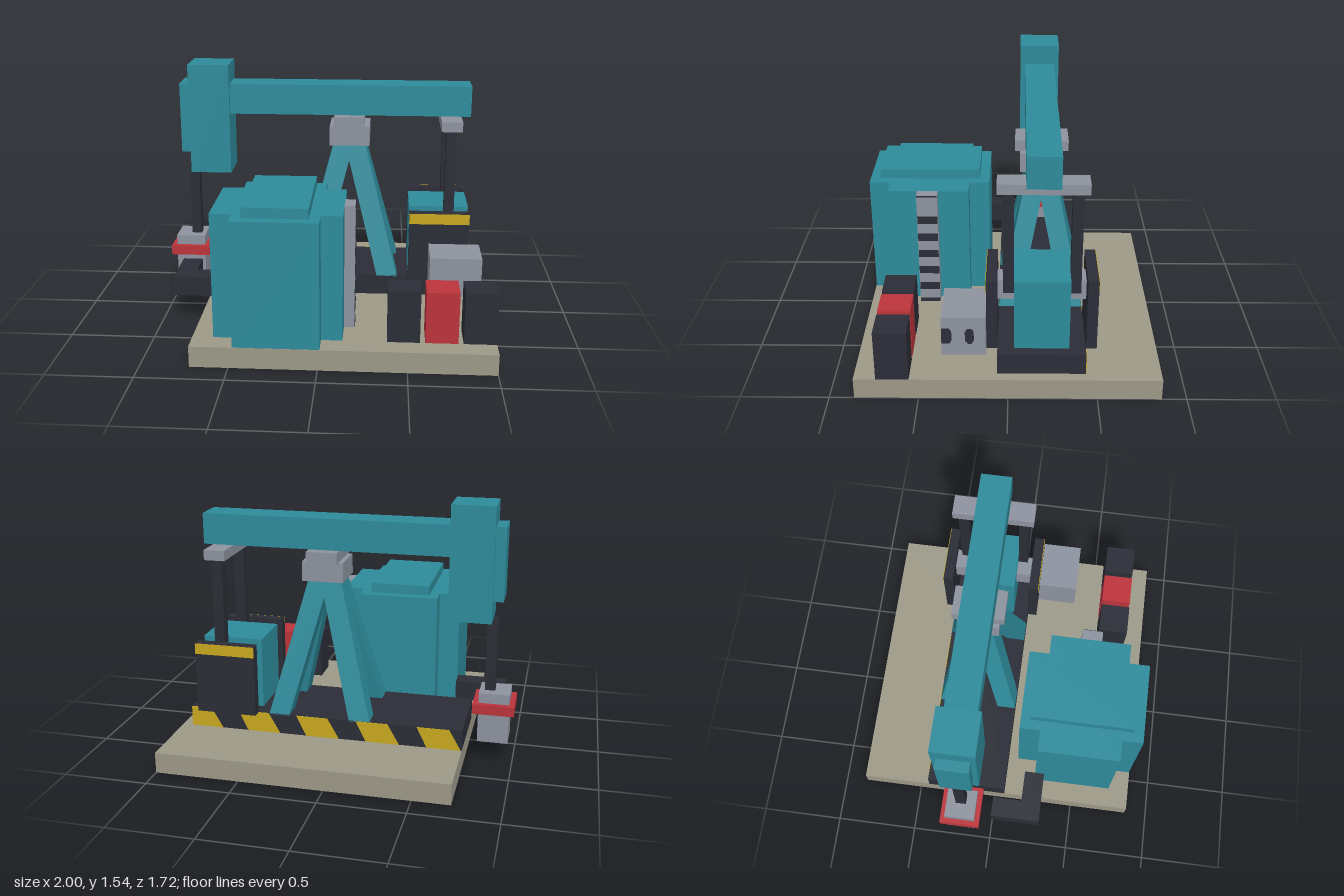
import * as THREE from 'three';

const mat = (name, color) => {
  const m = new THREE.MeshStandardMaterial({ color });
  m.name = name;
  return m;
};

export function createModel() {
  const teal = mat('teal paint', 0x2e8b9b);
  const dark = mat('dark steel', 0x2b2d37);
  const grey = mat('grey metal', 0x8d939f);
  const red = mat('red paint', 0xbc343b);
  const yellow = mat('hazard yellow', 0xc9a820);
  const concrete = mat('concrete', 0x9c9988);

  const model = new THREE.Group();
  model.name = 'oilPump';
  const group = (name) => {
    const g = new THREE.Group();
    g.name = name;
    model.add(g);
    return g;
  };
  // Box given by its extents along each axis
  const box = (parent, name, material, [x0, x1], [y0, y1], [z0, z1]) => {
    const mesh = new THREE.Mesh(new THREE.BoxGeometry(x1 - x0, y1 - y0, z1 - z0), material);
    mesh.position.set((x0 + x1) / 2, (y0 + y1) / 2, (z0 + z1) / 2);
    mesh.name = name;
    parent.add(mesh);
    return mesh;
  };
  // Thin painted plate, drawn in a plane facing +z before it is placed
  const plate = (parent, name, material, points) => {
    const shape = new THREE.Shape(points.map(([x, y]) => new THREE.Vector2(x, y)));
    const mesh = new THREE.Mesh(new THREE.ExtrudeGeometry(shape, { depth: 0.004, bevelEnabled: false }), material);
    mesh.name = name;
    parent.add(mesh);
    return mesh;
  };

  const axisZ = -0.1875;

  // Ground slab and skid
  box(model, 'baseSlab', concrete, [-0.72, 1], [0, 0.125], [-0.86, 0.86]);
  const skid = group('skid');
  box(skid, 'skidFrame', dark, [-0.72, 0.938], [0.125, 0.25], [-0.435, 0.06]);

  // Slanted hazard stripes along the back of the skid
  const length = 1.658;
  const clip = (u) => Math.min(Math.max(u, 0), length);
  for (let k = 0; k < 5; k++) {
    const u = -0.064 + k * 0.364;
    const stripe = plate(skid, 'hazardStripe', yellow, [
      [clip(u + 0.06), 0.126], [clip(u + 0.26), 0.126], [clip(u + 0.19), 0.249], [clip(u), 0.249],
    ]);
    stripe.rotation.y = Math.PI;
    stripe.position.set(0.938, 0, -0.435);
  }

  // Walking beam and horse head
  const beam = group('walkingBeam');
  box(beam, 'beam', teal, [-0.61, 0.873], [1.235, 1.42], [-0.28, -0.095]);
  box(beam, 'head', teal, [-0.85, -0.6], [0.865, 1.54], [-0.31, -0.065]);
  box(beam, 'headNose', teal, [-0.91, -0.85], [0.99, 1.42], [-0.28, -0.095]);

  // Support tower with four splayed legs
  const tower = group('tower');
  box(tower, 'saddle', grey, [0.043, 0.227], [1.17, 1.235], [-0.343, -0.035]);
  box(tower, 'towerCap', grey, [0.015, 0.26], [1.052, 1.17], [-0.31, -0.063]);
  for (const sx of [-1, 1]) {
    for (const sz of [-1, 1]) {
      const geo = new THREE.BoxGeometry(0.125, 0.82, 0.116);
      const p = geo.attributes.position;
      for (let i = 0; i < p.count; i++) {
        const t = 0.5 - p.getY(i) / 0.82; // 0 at the top, 1 at the foot
        p.setX(i, p.getX(i) + sx * (0.033 + 0.212 * t));
        p.setZ(i, p.getZ(i) + sz * (0.02 + 0.17 * t));
      }
      geo.computeVertexNormals();
      const leg = new THREE.Mesh(geo, teal);
      leg.position.set(0.135, 0.655, axisZ);
      leg.name = 'towerLeg';
      tower.add(leg);
    }
  }

  // Gearbox, cranks, pitman arms and counterweights
  const drive = group('drive');
  box(drive, 'gearbox', teal, [0.51, 0.873], [0.25, 0.68], [-0.343, -0.033]);
  box(drive, 'equalizerBar', grey, [0.69, 0.815], [1.175, 1.235], [-0.435, 0.06]);
  for (const s of [-1, 1]) {
    const span = (a, b) => [axisZ + s * a, axisZ + s * b].sort((m, n) => m - n);
    box(drive, 'crank', grey, [0.63, 0.755], [0.5, 0.62], span(0.154, 0.2475));
    box(drive, 'pitmanArm', dark, [0.72, 0.782], [0.555, 1.175], span(0.156, 0.217));
    box(drive, 'counterweight', dark, [0.51, 0.873], [0.25, 0.68], span(0.2475, 0.308));
    box(drive, 'counterweightStripe', yellow, [0.51, 0.873], [0.615, 0.68], span(0.308, 0.311));
  }

  // Wellhead, polished rod and outlet pipe
  const well = group('wellhead');
  box(well, 'wellheadBody', grey, [-0.97, -0.79], [0.125, 0.43], [-0.28, -0.095]);
  box(well, 'wellheadFlange', red, [-1, -0.757], [0.31, 0.37], [-0.31, -0.065]);
  box(well, 'polishedRod', dark, [-0.88, -0.82], [0.43, 0.865], [-0.22, -0.157]);
  box(well, 'pipeAlong', dark, [-0.91, -0.79], [0.188, 0.31], [0, 0.303]);
  box(well, 'pipeAcross', dark, [-0.79, -0.6], [0.188, 0.31], [0.18, 0.303]);

  // Storage tank with stepped corners and roof
  const tank = group('tank');
  box(tank, 'tankWide', teal, [-0.6, 0.135], [0.125, 0.865], [0.245, 0.733]);
  box(tank, 'tankDeep', teal, [-0.475, 0.013], [0.125, 0.865], [0.122, 0.857]);
  box(tank, 'tankRoof', teal, [-0.415, -0.047], [0.865, 0.925], [0.182, 0.796]);

  // Ladder with dark gaps between the rungs
  const ladder = group('ladder');
  box(ladder, 'ladderFrame', grey, [0.135, 0.196], [0.125, 0.865], [0.43, 0.555]);
  for (let i = 0; i < 6; i++) {
    const y = 0.128 + i * 0.1145 + (i ? -0.026 + 0.0 : 0);
    const h = i ? 0.05 : 0.025;
    box(ladder, 'ladderGap', dark, [0.196, 0.199], [y + (i ? 0.0 : 0), y + h], [0.432, 0.553]);
  }
  box(ladder, 'ladderGap', dark, [0.196, 0.199], [0.853, 0.864], [0.432, 0.553]);

  // Motor with two round vents on its outer side
  const motor = group('motor');
  box(motor, 'motorBody', grey, [0.63, 0.935], [0.25, 0.49], [0.122, 0.367]);
  const vent = (points) => {
    const m = plate(motor, 'motorVent', dark, points);
    m.rotation.y = Math.PI / 2; // local x becomes -z
    m.position.x = 0.935;
  };
  vent([[-0.236, 0.345], [-0.22, 0.324], [-0.2, 0.324], [-0.187, 0.345],
    [-0.187, 0.4], [-0.2, 0.42], [-0.22, 0.42], [-0.236, 0.4]]);
  vent([[-0.366, 0.324], [-0.322, 0.324], [-0.31, 0.345], [-0.31, 0.4], [-0.322, 0.42], [-0.366, 0.42]]);

  // Row of three barrels
  const barrels = group('barrels');
  [dark, red, dark].forEach((m, i) => {
    const x = 0.385 + i * 0.2145;
    box(barrels, 'barrel', m, [x, x + 0.185], [0.125, 0.43], [0.55, 0.735]);
  });

  return model;
}
